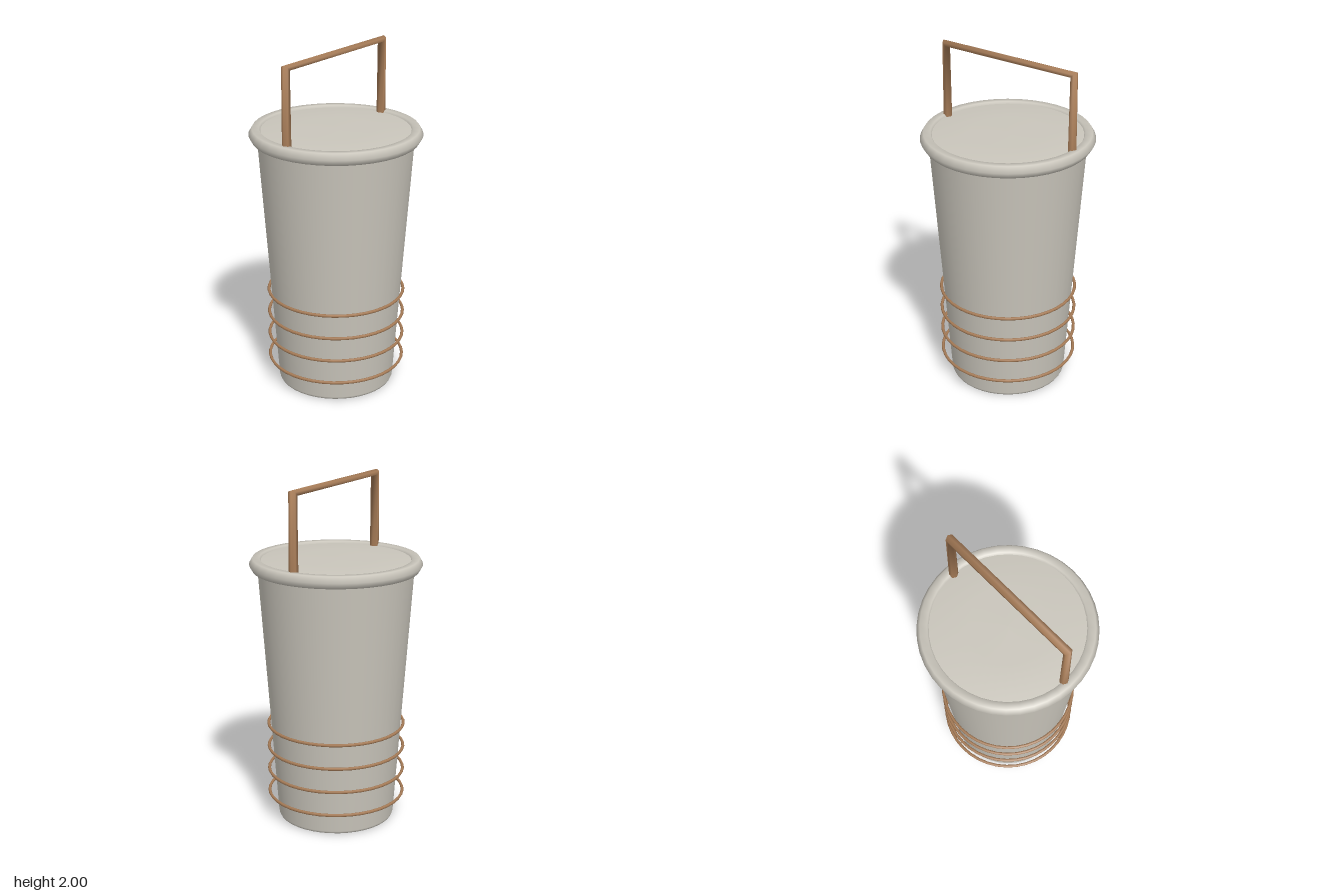
import * as THREE from 'three';

const SIDES = 40;

// Hoop lying flat at a given height
function hoop(name, radius, tube, y, sides, material) {
  const geometry = new THREE.TorusGeometry(radius, tube, sides, SIDES).rotateX(Math.PI / 2);
  const mesh = new THREE.Mesh(geometry, material);
  mesh.name = name;
  mesh.position.y = y;
  return mesh;
}

// Six-sided rod bent in two mitred corners, lofted through four rings
function handleGeometry(halfWidth, bottom, top, r) {
  const sides = 6, d = Math.SQRT1_2;
  const rings = [
    { x: -halfWidth, y: bottom, u: [1, 0] },
    { x: -halfWidth, y: top, u: [d, -d] },
    { x: halfWidth, y: top, u: [-d, -d] },
    { x: halfWidth, y: bottom, u: [-1, 0] },
  ];
  const position = [], index = [];
  rings.forEach(({ x, y, u }, i) => {
    for (let j = 0; j < sides; j++) {
      const a = (j / sides) * Math.PI * 2, c = Math.cos(a) * r;
      position.push(x + u[0] * c, y + u[1] * c, Math.sin(a) * r);
      if (i === 3) continue;
      const k = i * sides + j, n = i * sides + (j + 1) % sides;
      index.push(k, k + sides, n, n, k + sides, n + sides);
    }
  });
  const geometry = new THREE.BufferGeometry();
  geometry.setAttribute('position', new THREE.Float32BufferAttribute(position, 3));
  geometry.setIndex(index);
  geometry.computeVertexNormals();
  return geometry;
}

export function createModel() {
  const grey = new THREE.MeshStandardMaterial({ color: 0xc9c5bb });
  grey.name = 'warmGrey';
  const copper = new THREE.MeshStandardMaterial({ color: 0xa87d58 });
  copper.name = 'copper';

  const model = new THREE.Group();
  model.name = 'tumbler';
  const add = (name, geometry, material) => {
    const mesh = new THREE.Mesh(geometry, material);
    mesh.name = name;
    model.add(mesh);
  };
  const lathe = (points) =>
    new THREE.LatheGeometry(points.map(([x, y]) => new THREE.Vector2(x, y)), SIDES);

  // Tapered cup with a softened lower edge
  add('cupWall', lathe([[0.325, 0], [0.336, 0.005], [0.341, 0.018], [0.447, 1.525]]), grey);
  add('cupBase', new THREE.CircleGeometry(0.325, SIDES).rotateX(Math.PI / 2), grey);

  // Slightly domed lid inside the rim
  add('lid', lathe([[0.436, 1.53], [0.43, 1.547], [0.22, 1.552], [0, 1.554]]), grey);
  model.add(hoop('rim', 0.453, 0.04, 1.525, 6, grey));

  // Wire hoops around the lower cup
  for (let i = 0; i < 4; i++) {
    model.add(hoop('wireHoop', 0.396, 0.009, 0.145 + i * 0.142, 6, copper));
  }

  // Carrying handle
  add('handle', handleGeometry(0.427, 1.52, 1.982, 0.026), copper);
  return model;
}
